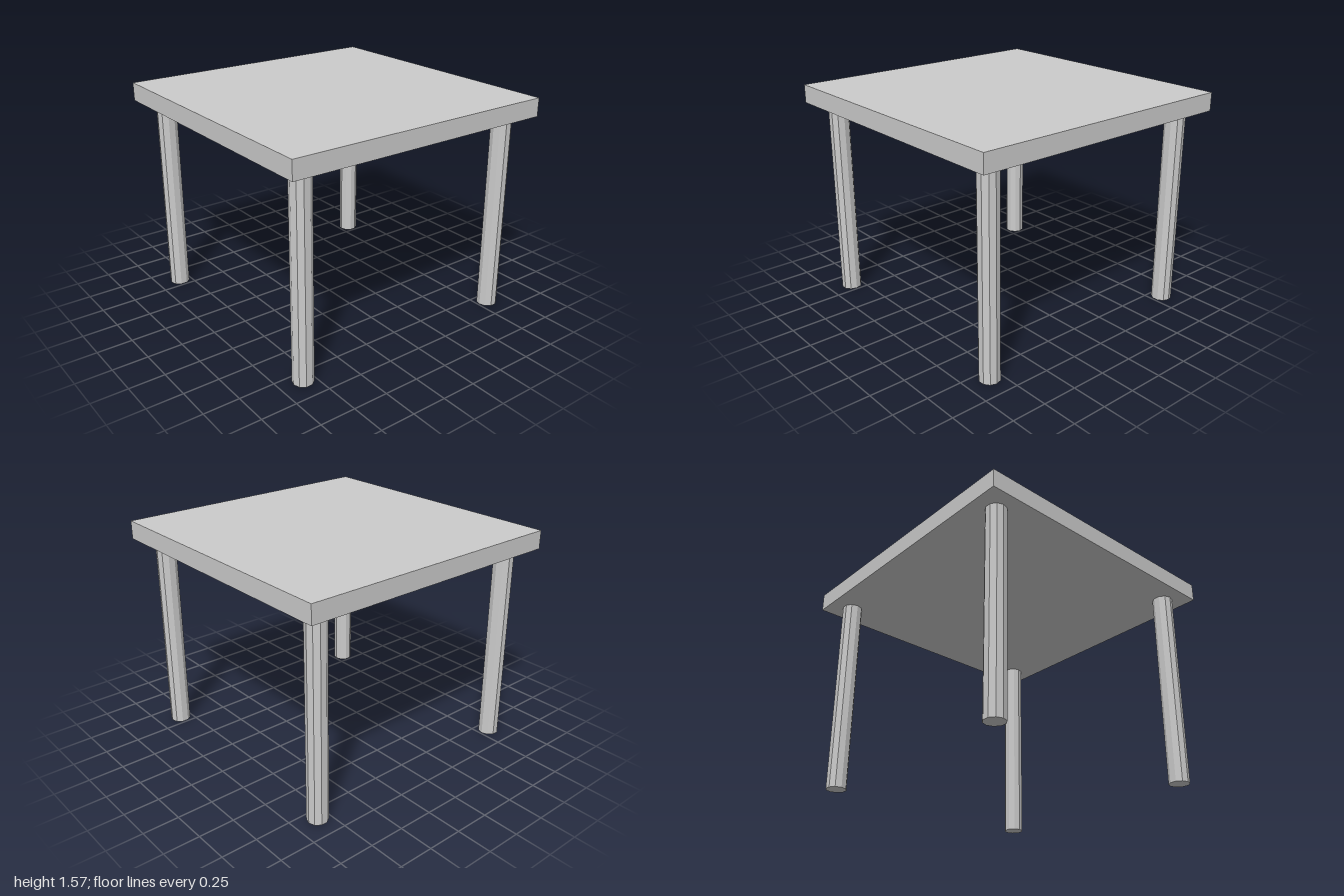
import * as THREE from 'three';

export function createModel() {
  const model = new THREE.Group();
  model.name = 'table';
  const material = new THREE.MeshStandardMaterial({ color: 0xcccccc, flatShading: true });

  const height = 1.57;
  const thickness = 0.13;
  const legHeight = height - thickness;
  const legOffset = 0.834;

  // Square slab top
  const top = new THREE.Mesh(new THREE.BoxGeometry(2, thickness, 2), material);
  top.name = 'tableTop';
  top.position.y = height - thickness / 2;
  model.add(top);

  // Four ten-sided legs, with a corner of each pointing along x
  const legGeometry = new THREE.CylinderGeometry(0.072, 0.072, legHeight, 10);
  legGeometry.rotateY(Math.PI / 2);
  for (const [zName, z] of [['front', 1], ['back', -1]]) {
    for (const [xName, x] of [['Left', 1], ['Right', -1]]) {
      const leg = new THREE.Mesh(legGeometry, material);
      leg.name = `${zName}${xName}Leg`;
      leg.position.set(x * legOffset, legHeight / 2, z * legOffset);
      model.add(leg);
    }
  }

  return model;
}
